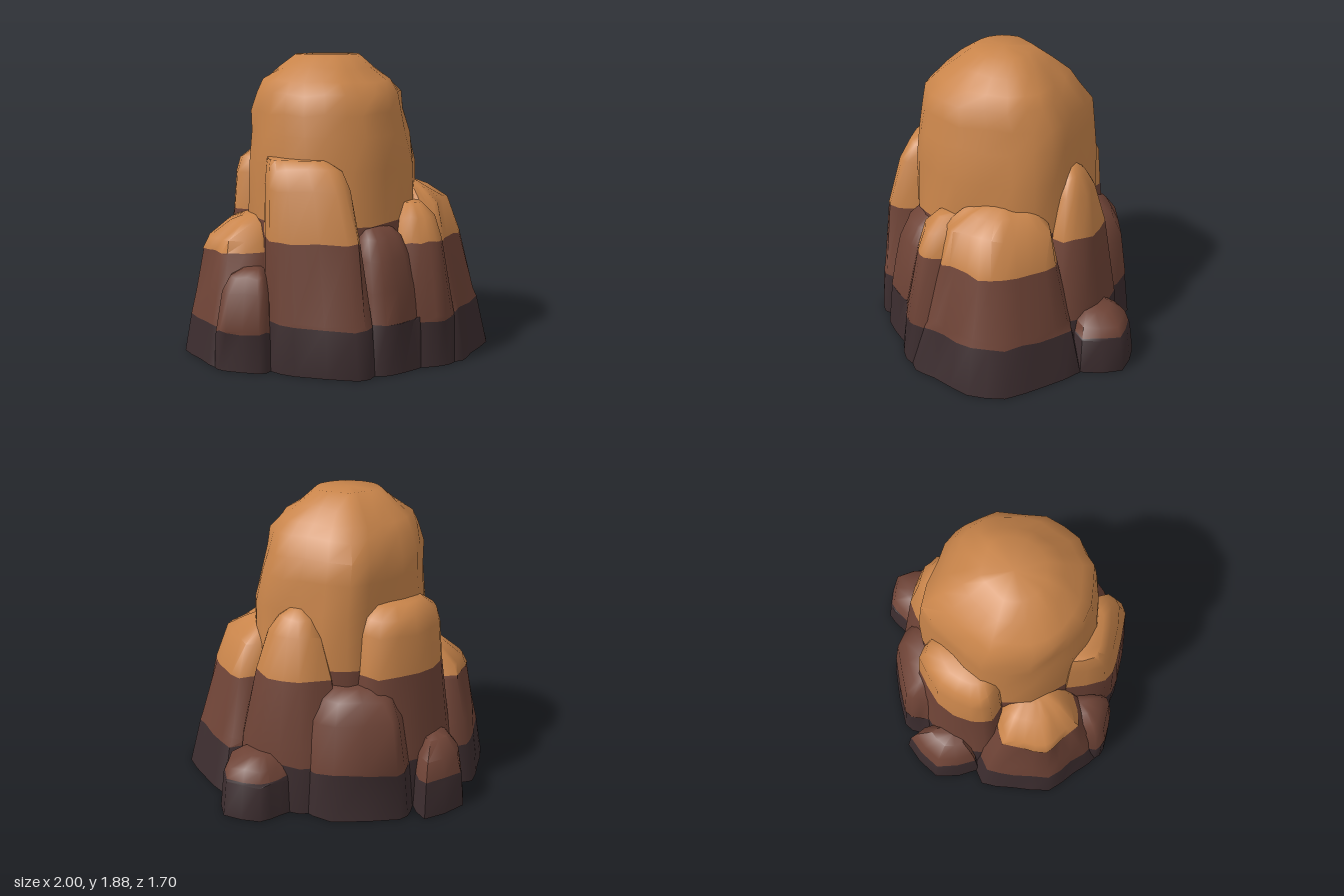
import * as THREE from 'three';
import { toCreasedNormals } from 'three/addons/utils/BufferGeometryUtils.js';

const material = (name, color) => {
  const m = new THREE.MeshStandardMaterial({ color });
  m.name = name;
  return m;
};

// small seeded noise in -1..1
function makeNoise(seed) {
  let s = seed * 7919 + 17;
  return () => {
    s = (s * 16807) % 2147483647;
    return (s / 2147483647) * 2 - 1;
  };
}

// cross-section [scaleX, scaleZ, shiftX, shiftZ] at height y
function sectionAt(profile, y) {
  const full = ([, sx, sz = sx, dx = 0, dz = 0]) => [sx, sz, dx, dz];
  const i = Math.max(1, profile.findIndex(p => p[0] >= y));
  const low = profile[i - 1], high = profile[i];
  const t = (y - low[0]) / (high[0] - low[0]);
  const a = full(low), b = full(high);
  return a.map((v, k) => v + (b[k] - v) * t);
}

// A boulder: a footprint that shrinks toward an anchor point as it rises.
// bands holds the heights where dark turns to brown and brown to tan.
function rockGeometry({ foot, anchor, profile, bands }, seed) {
  const noise = makeNoise(seed);
  const corners = foot.map(([x, z]) => new THREE.Vector3(x, 0, z));
  const outline = new THREE.CatmullRomCurve3(corners, true, 'catmullrom', 0.3)
    .getPoints(foot.length * 2).slice(0, -1);
  if (THREE.ShapeUtils.area(outline.map(p => new THREE.Vector2(p.x, p.z))) < 0) outline.reverse();
  const n = outline.length, [ax, az] = anchor;
  const top = profile[profile.length - 1][0];
  const levels = [...new Set([...profile.map(p => p[0]), ...bands])].sort((a, b) => a - b);

  // rings of points, gently roughened between base and top
  const pos = [];
  levels.forEach((y, k) => {
    const [sx, sz, dx, dz] = sectionAt(profile, y);
    const rough = k === 0 || k === levels.length - 1 ? 0 : 0.016;
    for (const p of outline) {
      const f = noise() * rough;
      pos.push(ax + dx + (p.x - ax) * (sx + f), y + noise() * rough * 0.7, az + dz + (p.z - az) * (sz + f));
    }
  });
  const [, , topX, topZ] = sectionAt(profile, top);
  const baseCentre = pos.length / 3, topCentre = baseCentre + 1;
  pos.push(ax, 0, az, ax + topX, top + 0.003, az + topZ);

  const geo = new THREE.BufferGeometry();
  const index = [];
  const addGroup = (start, mat) => geo.addGroup(start, index.length - start, mat);
  const colourAt = y => bands.filter(b => y >= b - 1e-6).length;

  for (let j = 0; j < n; j++) index.push(baseCentre, j, (j + 1) % n);
  addGroup(0, 0);
  for (let k = 0; k < levels.length - 1; k++) {
    const start = index.length;
    for (let j = 0; j < n; j++) {
      const a = k * n + j, b = k * n + ((j + 1) % n);
      index.push(a, a + n, b, b, a + n, b + n);
    }
    addGroup(start, colourAt(levels[k]));
  }
  const start = index.length, last = (levels.length - 1) * n;
  for (let j = 0; j < n; j++) index.push(topCentre, last + ((j + 1) % n), last + j);
  addGroup(start, colourAt(top));

  geo.setAttribute('position', new THREE.Float32BufferAttribute(pos, 3));
  geo.setIndex(index);
  return toCreasedNormals(geo, 0.95);
}

// profile rows: height, scale x, then optional scale z, shift x, shift z
const rocks = {
  // tall central dome
  centralDome: {
    foot: [[0, -0.59], [0.3, -0.42], [0.5, -0.26], [0.54, 0], [0.42, 0.34], [0.2, 0.53], [-0.02, 0.58],
      [-0.3, 0.5], [-0.5, 0.28], [-0.57, 0], [-0.48, -0.3], [-0.25, -0.45]],
    anchor: [-0.05, 0],
    profile: [[0, 1.03], [0.8, 1], [1.2, 0.98, 0.98], [1.4, 0.93, 0.95, -0.015], [1.53, 0.89, 0.91, -0.025, -0.01],
      [1.65, 0.84, 0.82, -0.025, 0.02], [1.72, 0.74, 0.7, -0.035, 0.01], [1.8, 0.56, 0.52, -0.03, 0.01],
      [1.88, 0.37, 0.33, -0.02, 0.01]],
    bands: [0.3, 0.87],
  },
  // tall lobes leaning on the dome
  frontLobe: {
    foot: [[-0.53, 0.56], [-0.4, 0.69], [-0.05, 0.85], [0.07, 0.78], [0.05, 0.4], [-0.3, 0.2], [-0.52, 0.25]],
    anchor: [-0.45, 0.3],
    profile: [[0, 1], [0.32, 0.96], [0.8, 0.87, 0.85], [1.1, 0.77, 0.71], [1.22, 0.69, 0.58], [1.27, 0.52, 0.44]],
    bands: [0.3, 0.8],
  },
  backRightLobe: {
    foot: [[-0.72, -0.25], [-0.7, -0.42], [-0.48, -0.66], [-0.15, -0.74], [0, -0.6], [0, -0.3], [-0.5, -0.1]],
    anchor: [-0.3, -0.3],
    profile: [[0, 1], [0.4, 0.9], [0.85, 0.78], [1.1, 0.73], [1.2, 0.65], [1.26, 0.45]],
    bands: [0.3, 0.85],
  },
  backLeftLobe: {
    foot: [[0, -0.66], [0.3, -0.72], [0.57, -0.57], [0.68, -0.38], [0.62, -0.2], [0.2, -0.1], [0, -0.3]],
    anchor: [0.28, -0.38],
    profile: [[0, 1], [0.4, 0.89], [0.83, 0.67], [1.08, 0.46], [1.18, 0.28], [1.23, 0.12]],
    bands: [0.3, 0.83],
  },
  // broad shoulders at the sides
  leftShoulder: {
    foot: [[0.55, -0.42], [0.77, -0.42], [0.9, -0.18], [1, 0.07], [0.95, 0.3], [0.77, 0.5], [0.68, 0.62],
      [0.5, 0.64], [0.3, 0.4], [0.3, -0.3]],
    anchor: [0.42, 0.05],
    profile: [[0, 1], [0.35, 0.84], [0.73, 0.66], [0.95, 0.51, 0.58], [1.03, 0.3, 0.4], [1.07, 0.15, 0.2]],
    bands: [0.3, 0.73],
  },
  rightShoulder: {
    foot: [[-0.6, -0.42], [-0.84, -0.4], [-0.92, -0.2], [-1, 0.05], [-0.92, 0.25], [-0.83, 0.46], [-0.55, 0.5],
      [-0.4, 0.3], [-0.4, -0.3]],
    anchor: [-0.5, 0.03],
    profile: [[0, 1], [0.4, 0.85, 0.82], [0.66, 0.74, 0.6], [0.74, 0.69, 0.51], [0.84, 0.42, 0.36], [0.88, 0.2]],
    bands: [0.24, 0.67],
  },
  // smaller columns and boulders around the foot
  frontColumn: {
    foot: [[0, 0.73], [0.15, 0.8], [0.36, 0.71], [0.42, 0.64], [0.4, 0.3], [-0.02, 0.3]],
    anchor: [0.05, 0.35],
    profile: [[0, 1], [0.3, 0.93], [0.5, 0.85], [0.68, 0.76], [0.8, 0.64], [0.87, 0.45]],
    bands: [0.31],
  },
  frontLeftColumn: {
    foot: [[0.25, 0.65], [0.42, 0.7], [0.56, 0.68], [0.65, 0.58], [0.6, 0.2], [0.21, 0.25]],
    anchor: [0.38, 0.3],
    profile: [[0, 1], [0.3, 0.92], [0.75, 0.69], [0.9, 0.54, 0.58], [0.98, 0.28, 0.38]],
    bands: [0.28, 0.75],
  },
  frontRightBoulder: {
    foot: [[-0.85, 0.42], [-0.8, 0.5], [-0.6, 0.6], [-0.52, 0.56], [-0.45, 0.3], [-0.75, 0.2]],
    anchor: [-0.58, 0.35],
    profile: [[0, 1], [0.25, 0.94], [0.48, 0.8], [0.56, 0.6], [0.6, 0.3]],
    bands: [0.24],
  },
  backBoulder: {
    foot: [[-0.42, -0.6], [-0.38, -0.75], [-0.3, -0.84], [0.12, -0.83], [0.3, -0.65], [0.25, -0.4], [-0.4, -0.4]],
    anchor: [-0.05, -0.45],
    profile: [[0, 1], [0.3, 0.92], [0.6, 0.81], [0.72, 0.65], [0.78, 0.43]],
    bands: [0.29],
  },
  backLeftBoulder: {
    foot: [[0.3, -0.64], [0.42, -0.72], [0.55, -0.79], [0.77, -0.69], [0.77, -0.42], [0.5, -0.35], [0.35, -0.45]],
    anchor: [0.52, -0.5],
    profile: [[0, 1], [0.22, 0.91], [0.3, 0.78], [0.36, 0.45]],
    bands: [0.24],
  },
  backRightBoulder: {
    foot: [[-0.74, -0.4], [-0.72, -0.7], [-0.45, -0.85], [-0.4, -0.64], [-0.45, -0.4]],
    anchor: [-0.55, -0.52],
    profile: [[0, 1], [0.2, 0.9], [0.34, 0.76], [0.43, 0.42]],
    bands: [0.22],
  },
};

export function createModel() {
  const model = new THREE.Group();
  model.name = 'rockFormation';
  const layers = [
    material('dark base rock', 0x3b2c2e),
    material('brown middle rock', 0x6e4336),
    material('tan upper rock', 0xc8844a),
  ];
  Object.entries(rocks).forEach(([name, rock], i) => {
    const mesh = new THREE.Mesh(rockGeometry(rock, i + 1), layers);
    mesh.name = name;
    model.add(mesh);
  });
  return model;
}
